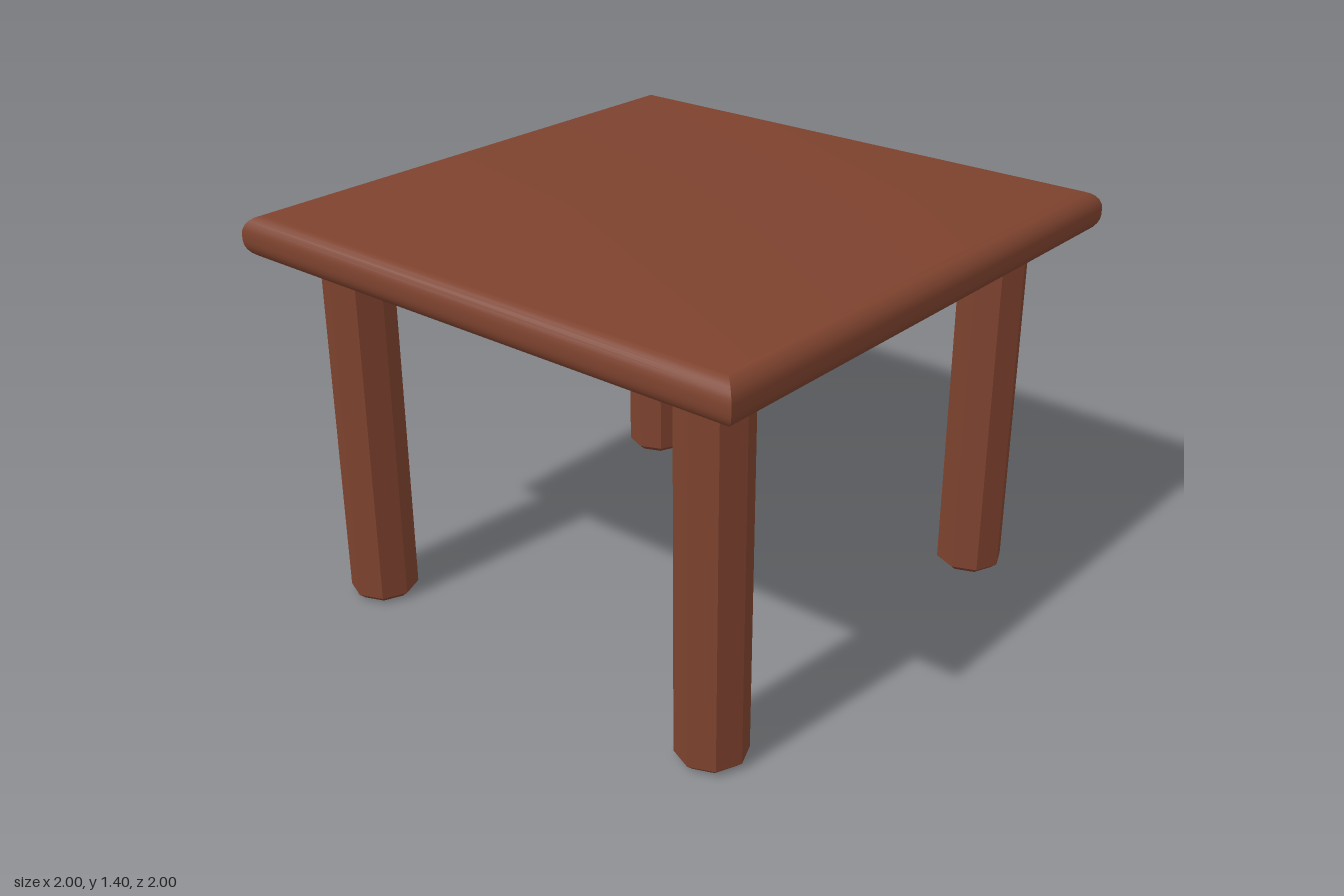
import * as THREE from 'three';
import { toCreasedNormals } from 'three/addons/utils/BufferGeometryUtils.js';

const wood = new THREE.MeshStandardMaterial({ color: 0x7d422e });
wood.name = 'reddish brown wood';

// Turn a bottom-to-top profile into a solid with a few straight sides
function facetedSolid(points, sides, startAngle = 0) {
  const profile = points.map(([r, y]) => new THREE.Vector2(r, y));
  return toCreasedNormals(new THREE.LatheGeometry(profile, sides, startAngle), 0.5);
}

// Square slab with rounded upper and lower rims and mitred corners
function createTop() {
  const half = 1, bottom = 1.26, top = 1.405, radius = 0.062, steps = 6;
  const points = [[0, bottom]];
  for (const [centreY, from] of [[bottom + radius, -Math.PI / 2], [top - radius, 0]]) {
    for (let i = 0; i <= steps; i++) {
      const a = from + (i / steps) * Math.PI / 2;
      points.push([half - radius + Math.cos(a) * radius, centreY + Math.sin(a) * radius]);
    }
  }
  points.push([0, top]);
  const scaled = points.map(([r, y]) => [r * Math.SQRT2, y]);
  const mesh = new THREE.Mesh(facetedSolid(scaled, 4, Math.PI / 4), wood);
  mesh.name = 'tableTop';
  return mesh;
}

export function createModel() {
  const table = new THREE.Group();
  table.name = 'table';
  table.add(createTop());

  // Eight-sided leg: bevelled foot, straight shaft, flared collar under the top
  const legGeometry = facetedSolid(
    [[0, 0], [0.092, 0], [0.117, 0.022], [0.117, 1.222], [0.16, 1.265], [0, 1.265]], 8);

  for (const [front, z] of [['front', 1], ['back', -1]]) {
    for (const [side, x] of [['Left', 1], ['Right', -1]]) {
      const leg = new THREE.Mesh(legGeometry, wood);
      leg.name = `${front}${side}Leg`;
      leg.position.set(x * 0.748, 0, z * 0.75);
      table.add(leg);
    }
  }
  return table;
}
